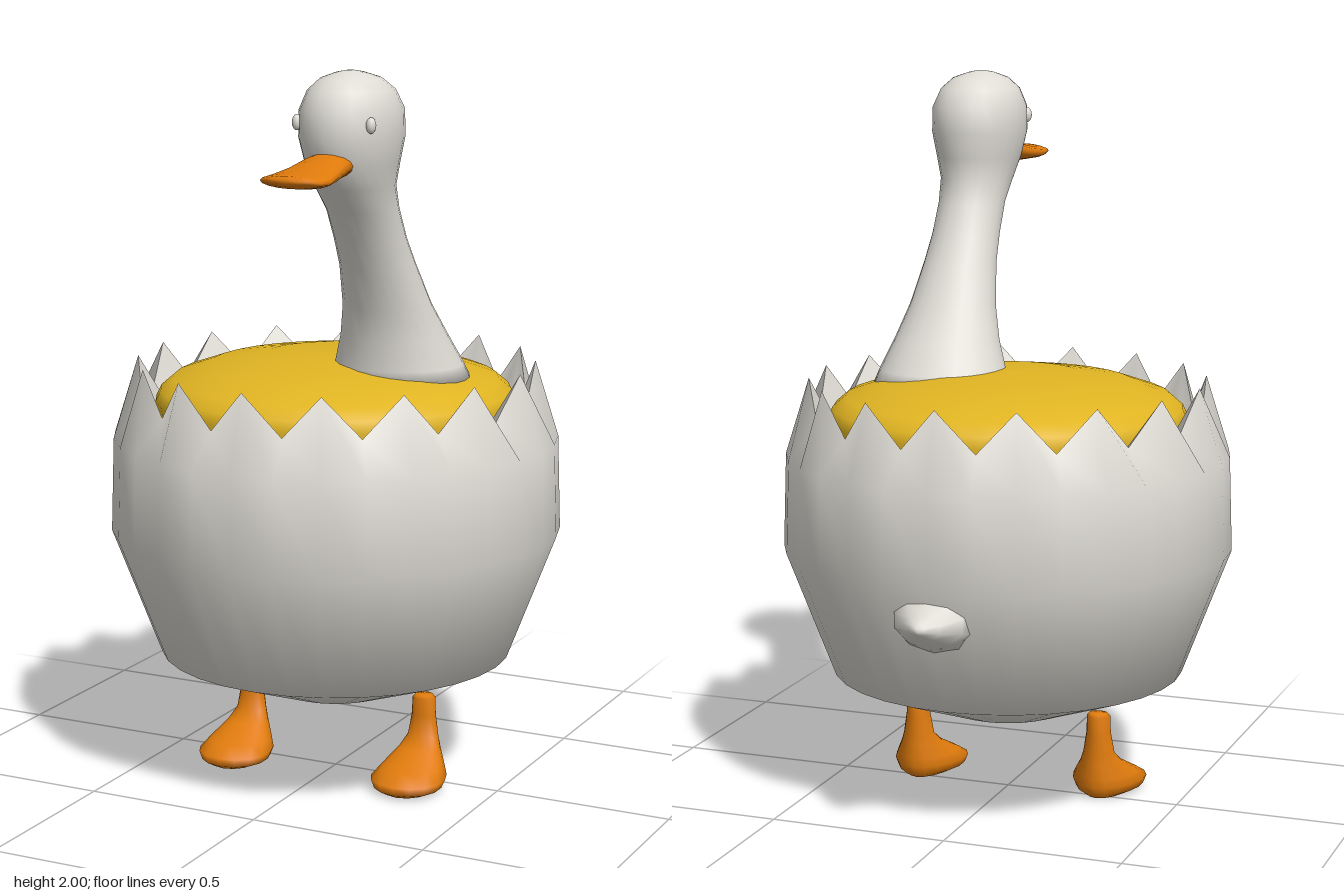
import * as THREE from 'three';

// Smooth skin through rings of [x, y, z] points; optional end caps
function skin(rings, capStart = true, capEnd = true) {
  const n = rings[0].length, last = (rings.length - 1) * n;
  const pos = rings.flat(2), index = [];
  for (let i = 0; i < rings.length - 1; i++) {
    for (let j = 0; j < n; j++) {
      const a = i * n + j, b = i * n + (j + 1) % n;
      index.push(a, b, a + n, b, b + n, a + n);
    }
  }
  const cap = (ring, start, flip) => {
    const c = pos.length / 3;
    for (let k = 0; k < 3; k++) pos.push(ring.reduce((s, p) => s + p[k], 0) / n);
    for (let j = 0; j < n; j++) {
      const a = start + j, b = start + (j + 1) % n;
      index.push(...(flip ? [c, b, a] : [c, a, b]));
    }
  };
  if (capStart) cap(rings[0], 0, true);
  if (capEnd) cap(rings[rings.length - 1], last, false);
  const g = new THREE.BufferGeometry();
  g.setAttribute('position', new THREE.Float32BufferAttribute(pos, 3));
  g.setIndex(index);
  g.computeVertexNormals();
  return g;
}

// Elliptical sections [y, zFront, zBack, halfWidth], widened toward the front by taper
function loft(sections, n = 24, taper = 0) {
  return skin(sections.map(([y, zf, zb, w]) => Array.from({ length: n }, (_, j) => {
    const a = j / n * Math.PI * 2;
    return [w * Math.sin(a) * (1 + taper * Math.cos(a)), y, (zf + zb) / 2 + (zf - zb) / 2 * Math.cos(a)];
  })));
}

// Ring of 32 points alternating between a tooth tip and a notch
function crownRing(tipR, tipY, notchR = tipR, notchY = tipY) {
  return Array.from({ length: 32 }, (_, j) => {
    const a = j / 32 * Math.PI * 2;
    const [r, y] = j % 2 ? [notchR, notchY] : [tipR, tipY];
    return [r * Math.sin(a), y, r * Math.cos(a)];
  });
}

export function createModel() {
  const group = new THREE.Group();
  const material = (name, color) => {
    const m = new THREE.MeshStandardMaterial({ color });
    m.name = name;
    return m;
  };
  const white = material('shell white', 0xdfdcd5);
  const yellow = material('yolk yellow', 0xe0b422);
  const orange = material('beak orange', 0xe07b0c);

  const add = (name, geometry, mat, x = 0, y = 0, z = 0) => {
    const mesh = new THREE.Mesh(geometry, mat);
    mesh.name = name;
    mesh.position.set(x, y, z);
    group.add(mesh);
    return mesh;
  };

  // Cracked egg body with sixteen teeth, and the inside of its rim
  const rim = crownRing(0.55, 1.18, 0.535, 1.065);
  add('eggshell', skin([
    crownRing(0.17, 0.235), crownRing(0.49, 0.355), crownRing(0.625, 0.71),
    crownRing(0.616, 0.97), rim,
  ], true, false), white);
  add('shellRimInside', skin([rim, crownRing(0.495, 1.03)], false, false), white);

  // Domed filling
  const dome = [[0.49, 1.0], [0.5, 1.07], [0.485, 1.1], [0.45, 1.13], [0.35, 1.165], [0.2, 1.19], [0, 1.197]];
  add('filling', new THREE.LatheGeometry(dome.map(p => new THREE.Vector2(...p)), 32), yellow);

  // Leaning neck flowing into the head
  add('neckAndHead', loft([
    [1.14, 0.18, -0.18, 0.195], [1.19, 0.18, -0.15, 0.178], [1.27, 0.185, -0.09, 0.148],
    [1.36, 0.205, -0.02, 0.122], [1.475, 0.255, 0.05, 0.102], [1.55, 0.298, 0.097, 0.095],
    [1.634, 0.35, 0.138, 0.093], [1.7, 0.415, 0.16, 0.1], [1.76, 0.455, 0.155, 0.116],
    [1.83, 0.475, 0.143, 0.131], [1.9, 0.472, 0.148, 0.13], [1.95, 0.443, 0.183, 0.11],
    [1.98, 0.405, 0.227, 0.077], [1.995, 0.36, 0.28, 0.035], [2.0, 0.33, 0.31, 0.008],
  ]), white, 0.2);

  // Beak, lofted forward: [z, -bottom, -top, halfWidth]
  add('beak', loft([
    [0.4, -1.735, -1.805, 0.06], [0.47, -1.73, -1.797, 0.067], [0.55, -1.725, -1.778, 0.08],
    [0.61, -1.725, -1.768, 0.093], [0.655, -1.73, -1.766, 0.086], [0.678, -1.738, -1.765, 0.06],
    [0.686, -1.745, -1.758, 0.03],
  ], 16).rotateX(Math.PI / 2), orange, 0.2);

  // Tail, lofted backward: [-z, top, bottom, halfWidth]
  add('tail', loft([
    [0.54, 0.72, 0.525, 0.125], [0.6, 0.69, 0.56, 0.1], [0.65, 0.66, 0.59, 0.055],
    [0.68, 0.643, 0.612, 0.022], [0.687, 0.635, 0.62, 0.008],
  ], 10).rotateX(-Math.PI / 2), white);

  // Mirrored eyes and feet
  const foot = loft([
    [0, 0.175, -0.025, 0.065], [0.012, 0.195, -0.04, 0.092], [0.035, 0.198, -0.045, 0.102],
    [0.06, 0.15, -0.045, 0.086], [0.1, 0.065, -0.043, 0.058], [0.13, 0.025, -0.041, 0.044],
    [0.19, 0.018, -0.04, 0.034], [0.237, 0.018, -0.04, 0.033], [0.246, 0.01, -0.032, 0.025],
  ], 16, 0.2);
  const eye = new THREE.SphereGeometry(1, 12, 8).scale(0.013, 0.021, 0.014);
  for (const [side, s] of [['left', 1], ['right', -1]]) {
    add(side + 'Eye', eye, white, 0.2 + s * 0.105, 1.87, 0.415);
    add(side + 'Foot', foot, orange, s * 0.272);
  }
  return group;
}
